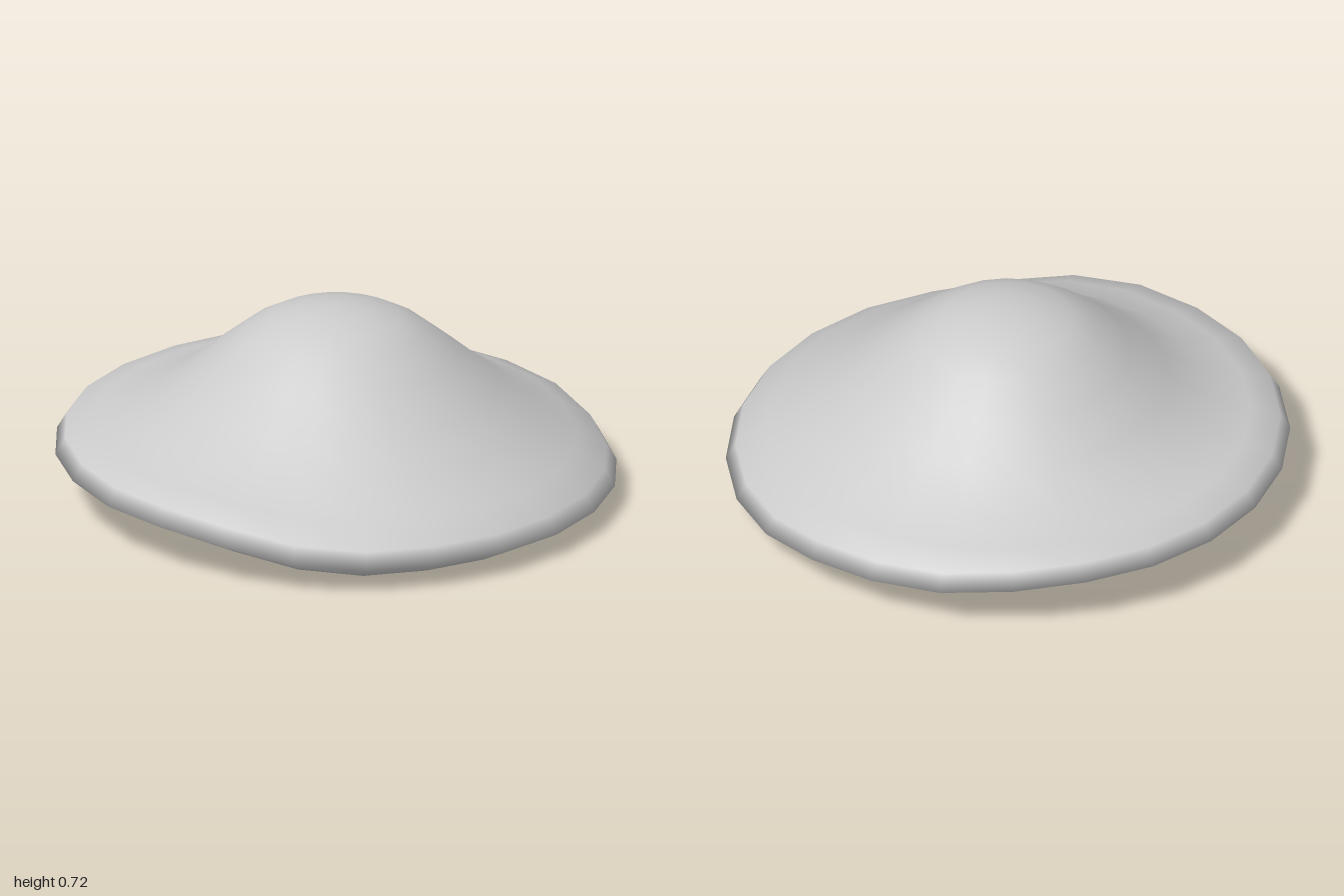
import * as THREE from 'three';
import { mergeVertices } from 'three/addons/utils/BufferGeometryUtils.js';

// Cross-section from the underside, around the rim, to the crown:
// radius, height, how far the brim's wave lifts this ring
const PROFILE = [
  [0, 0.04, 0], [0.35, 0.04, 0.4], [0.65, 0.042, 0.75], [0.885, 0.08, 1], [1, 0.14, 1],
  [0.965, 0.2, 1], [0.86, 0.25, 0.65], [0.72, 0.316, 0.12], [0.57, 0.422, 0],
  [0.43, 0.54, 0], [0.32, 0.627, 0], [0.23, 0.675, 0], [0.13, 0.703, 0], [0, 0.72, 0],
];

// Lift of the brim every 45 degrees, from +x round through +z
const WAVE = [-0.053, -0.055, -0.052, 0.035, 0.05, 0.055, 0.065, 0.012];

function brimLift(angle) {
  const t = ((angle / (Math.PI / 4)) % 8 + 8) % 8;
  const i = Math.floor(t), f = t - i;
  const at = (k) => WAVE[(k + 8) % 8];
  const s = f * f * (3 - 2 * f);
  return at(i) * (1 - s) + at(i + 1) * s;
}

export function createModel() {
  const group = new THREE.Group();
  group.name = 'domedHat';

  const lathe = new THREE.LatheGeometry(PROFILE.map(([r, y]) => new THREE.Vector2(r, y)), 24);

  // Bend the brim: high at the back right, low at the front left
  const pos = lathe.attributes.position;
  for (let i = 0; i < pos.count; i++) {
    const weight = PROFILE[i % PROFILE.length][2];
    const angle = Math.atan2(pos.getZ(i), pos.getX(i));
    if (weight > 0) pos.setY(i, pos.getY(i) + weight * brimLift(angle));
  }

  // Close the seam and smooth the whole surface
  lathe.deleteAttribute('uv');
  lathe.deleteAttribute('normal');
  const geometry = mergeVertices(lathe, 1e-4);
  geometry.computeVertexNormals();
  geometry.computeBoundingBox();
  geometry.translate(0, -geometry.boundingBox.min.y, 0);

  const cap = new THREE.Mesh(geometry, new THREE.MeshStandardMaterial({ color: 0xcccccc }));
  cap.name = 'crownAndBrim';
  group.add(cap);
  return group;
}
